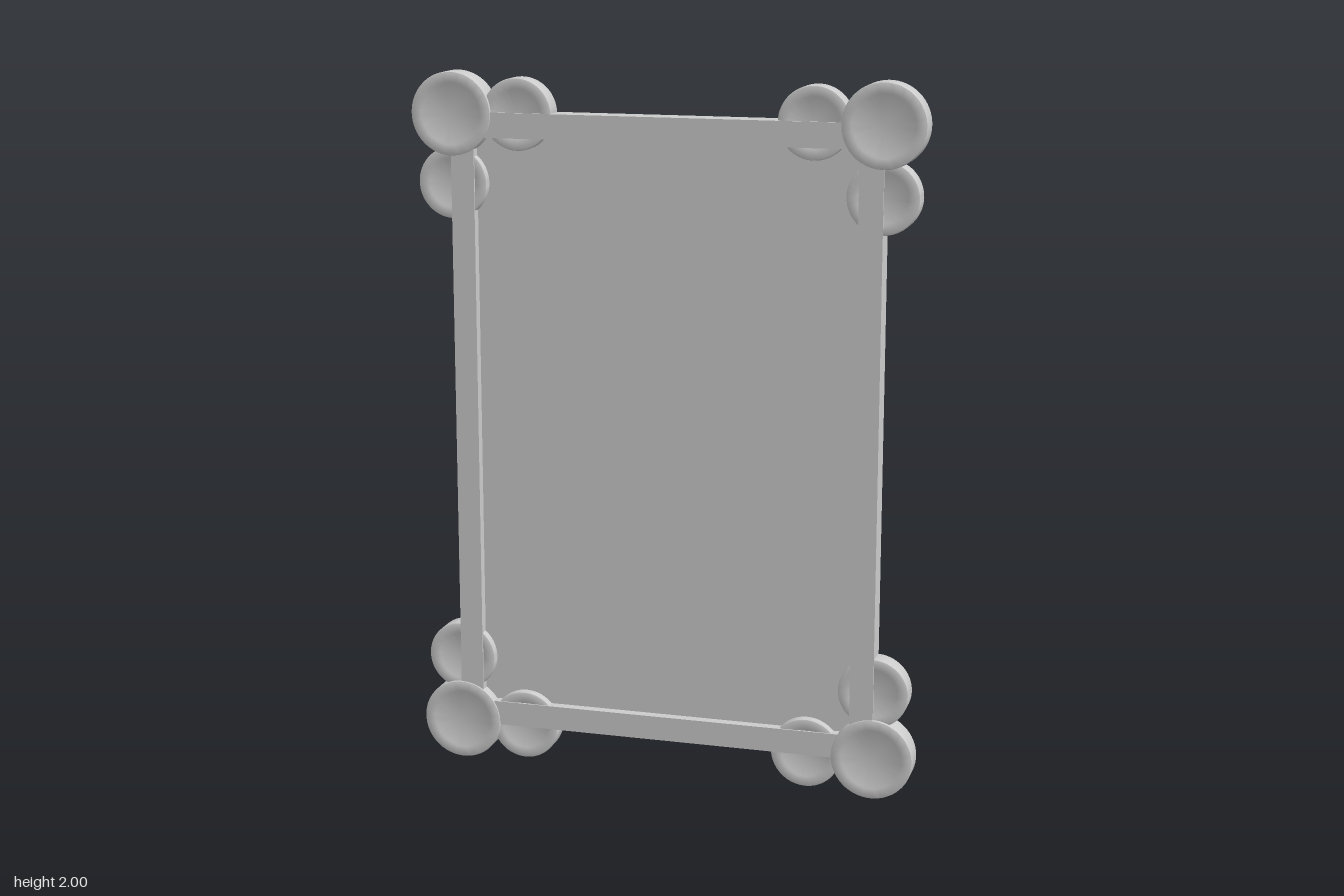
import * as THREE from 'three';
import { toCreasedNormals } from 'three/addons/utils/BufferGeometryUtils.js';

const CY = 1; // height of the frame's centre

function rectPath(target, w, h) {
  target.moveTo(-w, -h);
  target.lineTo(w, -h);
  target.lineTo(w, h);
  target.lineTo(-w, h);
  target.closePath();
  return target;
}

// Round boss with softened rim and a shallow stepped ring on both faces
function discGeometry(r, ring, h) {
  const b = 0.005, s = 0.002;
  const half = [[r, h - b], [r - b * 0.3, h - b * 0.3], [r - b, h], [ring + 0.002, h], [ring - 0.002, h - s], [0, h - s]];
  const lower = half.map(([x, y]) => [x, -y]).reverse();
  const profile = [...lower, ...half].map(([x, y]) => new THREE.Vector2(x, y));
  const geo = new THREE.LatheGeometry(profile, 64);
  geo.rotateX(Math.PI / 2);
  return toCreasedNormals(geo, 0.6);
}

export function createModel() {
  const root = new THREE.Group();
  root.name = 'corneredFrame';
  const mat = new THREE.MeshStandardMaterial({ color: 0xcccccc });

  const add = (name, geo, x, y, z) => {
    const mesh = new THREE.Mesh(geo, mat);
    mesh.name = name;
    mesh.position.set(x, y, z);
    root.add(mesh);
  };

  // Rectangular border with an opening
  const shape = rectPath(new THREE.Shape(), 0.61, 0.89);
  shape.holes.push(rectPath(new THREE.Path(), 0.543, 0.82));
  add('frameBorder', new THREE.ExtrudeGeometry(shape, { depth: 0.07, bevelEnabled: false }), 0, CY, -0.037);

  // Recessed panel, standing slightly proud of the back
  add('backPanel', new THREE.BoxGeometry(1.12, 1.65, 0.047), 0, CY, -0.0185);

  // One large and two small discs at every corner
  const large = discGeometry(0.116, 0.085, 0.037);
  const small = discGeometry(0.1, 0.07, 0.031);
  for (const sx of [-1, 1]) {
    for (const sy of [-1, 1]) {
      const corner = `${sy > 0 ? 'upper' : 'lower'}${sx > 0 ? 'Left' : 'Right'}`;
      add(`${corner}CornerDisc`, large, sx * 0.608, CY + sy * 0.884, 0);
      add(`${corner}RailDisc`, small, sx * 0.418, CY + sy * 0.886, -0.002);
      add(`${corner}StileDisc`, small, sx * 0.608, CY + sy * 0.692, -0.002);
    }
  }
  return root;
}
